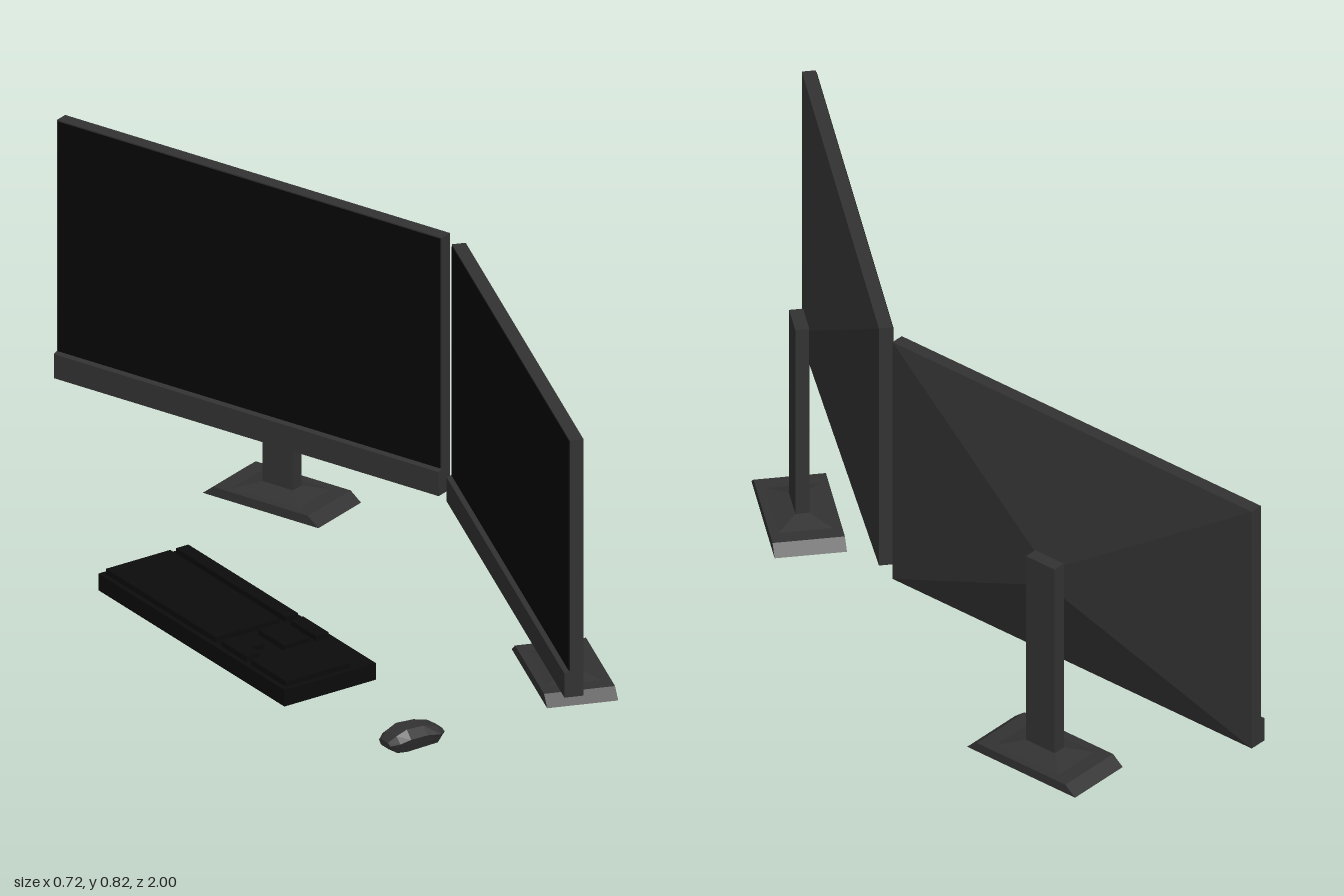
import * as THREE from 'three';

const mat = (name, color, extra = {}) => {
  const m = new THREE.MeshStandardMaterial({ color, ...extra });
  m.name = name;
  return m;
};

export function createModel() {
  const casing = mat('charcoal casing', 0x323232);
  const black = mat('screen black', 0x060606);
  const keyBlack = mat('keyboard black', 0x0b0b0b);

  const add = (parent, name, geo, material) => {
    const mesh = new THREE.Mesh(geo, material);
    mesh.name = name;
    parent.add(mesh);
    return mesh;
  };
  // box given by its minimum and maximum corners
  const box = (x0, x1, y0, y1, z0, z1) =>
    new THREE.BoxGeometry(x1 - x0, y1 - y0, z1 - z0)
      .translate((x0 + x1) / 2, (y0 + y1) / 2, (z0 + z1) / 2);
  // box whose corners are moved by a rule
  const reshape = (geo, rule) => {
    const p = geo.attributes.position, v = new THREE.Vector3();
    for (let i = 0; i < p.count; i++) {
      rule(v.fromBufferAttribute(p, i));
      p.setXYZ(i, v.x, v.y, v.z);
    }
    geo.computeVertexNormals();
    return geo;
  };

  // monitor: screen faces -x, width runs along z, origin on the rear plane
  function monitor() {
    const g = new THREE.Group();
    const W = 0.516, bottom = 0.198, top = 0.817, cx = 0.091;
    add(g, 'frame', box(-0.031, 0, bottom, top, -W, W), casing);
    add(g, 'chin', reshape(box(-0.043, -0.031, bottom, 0.256, -W, W), v => {
      if (v.y > 0.25 && v.x > -0.04) v.y += 0.004;
    }), casing);
    add(g, 'screen', box(-0.0325, -0.031, 0.26, top - 0.003, -W + 0.004, W - 0.004), black);
    // rear shell narrows to a small plate at the stand
    add(g, 'rearShell', reshape(box(0, 0.076, bottom, top, -W, W), v => {
      if (v.x > 0.05) {
        v.y = v.y > 0.5 ? 0.51 : 0.425;
        v.z = Math.sign(v.z) * 0.04;
      }
    }), casing);
    add(g, 'standColumn', box(cx - 0.0155, cx + 0.0155, 0.02, 0.515, -0.041, 0.041), casing);
    // foot with sloping ends, and a collar around the column
    add(g, 'standFoot', reshape(box(cx - 0.08, cx + 0.08, 0, 0.022, -0.155, 0.155), v => {
      if (v.y > 0.01) v.z *= 0.82;
    }), casing);
    add(g, 'standCollar', reshape(box(cx - 0.06, cx + 0.06, 0.022, 0.035, -0.09, 0.09), v => {
      if (v.y > 0.03) {
        v.x = cx + Math.sign(v.x - cx) * 0.016;
        v.z = Math.sign(v.z) * 0.042;
      }
    }), casing);
    return g;
  }

  // keyboard: tray hollow underneath, with blocks of keys
  function keyboard() {
    const g = new THREE.Group();
    g.name = 'keyboard';
    const x0 = -0.362, x1 = -0.12, z0 = -0.385, z1 = 0.333, rim = 0.012;
    add(g, 'keyboardTop', box(x0, x1, 0.02, 0.04, z0, z1), keyBlack);
    for (const [a, b] of [[x0, x0 + rim], [x1 - rim, x1]])
      add(g, 'trayLongWall', box(a, b, 0, 0.02, z0, z1), keyBlack);
    for (const [a, b] of [[z0, z0 + rim], [z1 - rim, z1]])
      add(g, 'trayEndWall', box(x0 + rim, x1 - rim, 0, 0.02, a, b), keyBlack);
    // [name, x from, x to, z from, z to]
    const blocks = [
      ['mainKeys', -0.35, -0.18, -0.373, 0.05],
      ['functionKeys', -0.165, -0.132, -0.373, 0.05],
      ['navigationKeys', -0.25, -0.18, 0.07, 0.168],
      ['systemKeys', -0.165, -0.132, 0.07, 0.168],
      ['arrowKeysRow', -0.35, -0.315, 0.07, 0.168],
      ['arrowKeyUp', -0.315, -0.28, 0.103, 0.135],
      ['numberPad', -0.35, -0.18, 0.186, 0.322],
    ];
    for (const [name, a, b, c, d] of blocks)
      add(g, name, box(a, b, 0.04, 0.053, c, d), keyBlack);
    return g;
  }

  // mouse: eight-sided cross-sections lofted along x
  function mouse() {
    const g = new THREE.Group();
    g.name = 'mouse';
    // [x, half width, bottom, top]
    const stations = [
      [-0.314, 0.022, 0.014, 0.028], [-0.296, 0.035, 0.003, 0.042],
      [-0.270, 0.038, 0, 0.052], [-0.225, 0.036, 0, 0.049],
      [-0.190, 0.037, 0.001, 0.039], [-0.171, 0.023, 0.012, 0.027],
    ];
    // [side, height] as fractions of the section
    const ring = [[-0.65, 0], [0.65, 0], [0.82, 0.3], [1, 0.65],
      [0.55, 1], [-0.55, 1], [-1, 0.65], [-0.82, 0.3]];
    const n = ring.length, pos = [], idx = [];
    for (const [x, w, lo, hi] of stations)
      for (const [s, h] of ring) pos.push(x, lo + (hi - lo) * h, 0.65 + s * w);
    for (let i = 0; i < stations.length - 1; i++)
      for (let j = 0; j < n; j++) {
        const a = i * n + j, b = i * n + (j + 1) % n;
        idx.push(a, a + n, b, b, a + n, b + n);
      }
    const last = (stations.length - 1) * n;
    for (let j = 1; j < n - 1; j++) {
      idx.push(0, j, j + 1);
      idx.push(last, last + j + 1, last + j);
    }
    const geo = new THREE.BufferGeometry();
    geo.setAttribute('position', new THREE.Float32BufferAttribute(pos, 3));
    geo.setIndex(idx);
    const flat = geo.toNonIndexed();
    flat.computeVertexNormals();
    const body = mat('mouse charcoal', 0x323232, { side: THREE.DoubleSide });
    add(g, 'mouseBody', flat, body);
    const wheel = add(g, 'scrollWheel', new THREE.CylinderGeometry(0.01, 0.01, 0.008, 10), casing);
    wheel.rotation.x = Math.PI / 2;
    wheel.position.set(-0.205, 0.036, 0.65);
    return g;
  }

  const model = new THREE.Group();
  // two monitors angled inward
  for (const [side, name] of [[1, 'leftMonitor'], [-1, 'rightMonitor']]) {
    const m = monitor();
    m.name = name;
    m.position.set(0.1485, 0, side * 0.515);
    m.rotation.y = -side * THREE.MathUtils.degToRad(20);
    model.add(m);
  }
  model.add(keyboard(), mouse());
  return model;
}
